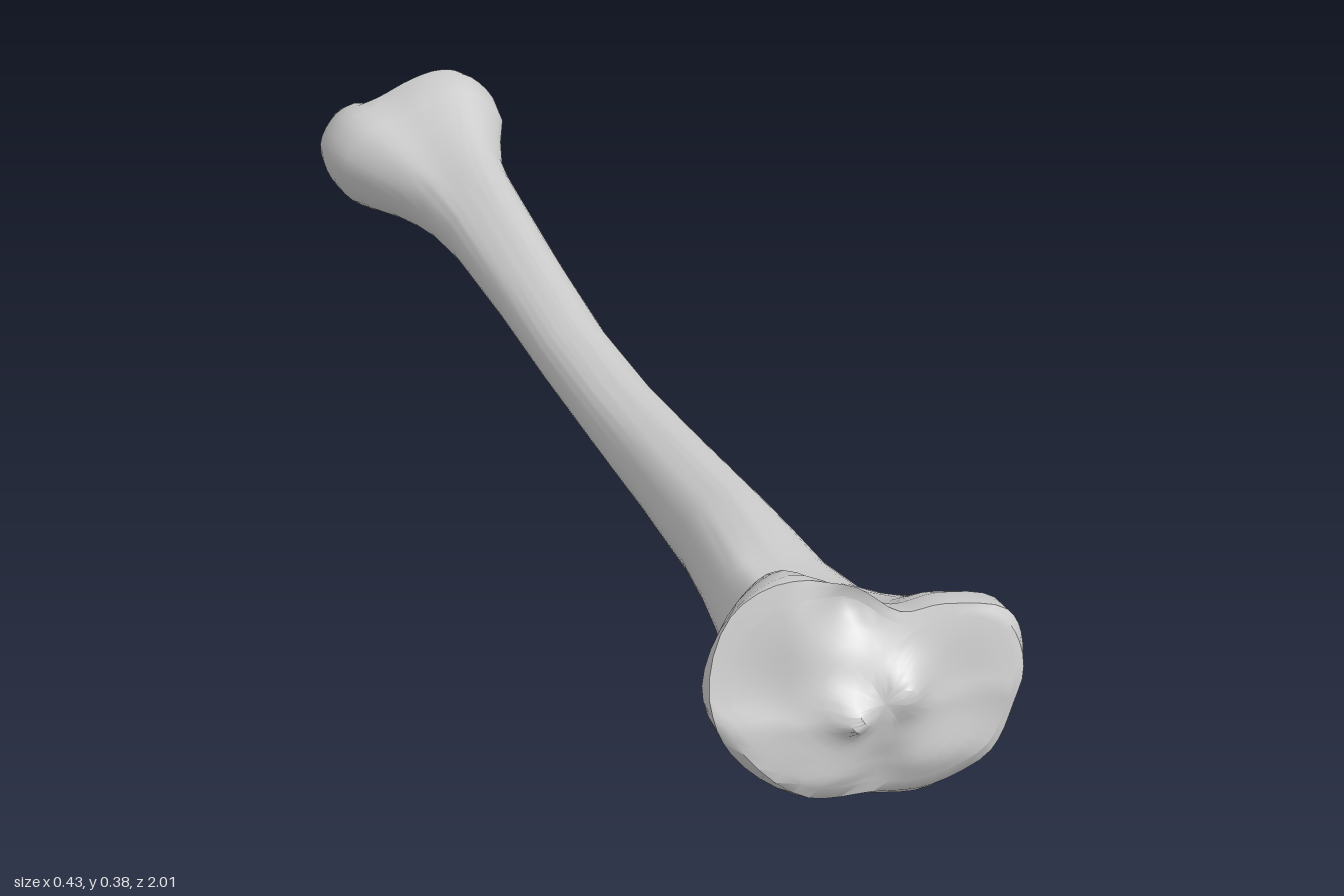
import * as THREE from 'three';
import { toCreasedNormals } from 'three/addons/utils/BufferGeometryUtils.js';

const COLS = 56;

// Outlines run counter-clockwise seen from +z, starting at the +x side.
const outlines = {
  plateau: [[.215, .24], [.19, .295], [.1, .32], [.04, .32], [-.01, .35], [-.1, .38], [-.18, .34],
    [-.217, .24], [-.19, .16], [-.1, .08], [0, .06], [.09, .05], [.17, .1], [.2, .17]],
  tuberosity: [[.17, .2], [.15, .25], [.1, .265], [.04, .25], [-.01, .27], [-.08, .34], [-.13, .31],
    [-.165, .23], [-.13, .13], [-.06, .06], [.03, 0], [.075, .005], [.13, .07], [.16, .13]],
  shaft: [[.08, .155], [.07, .19], [.045, .21], [.02, .215], [0, .21], [-.02, .2], [-.035, .18],
    [-.04, .15], [-.03, .125], [-.01, .1], [.03, .075], [.05, .07], [.065, .09], [.075, .12]],
  ankle: [[.118, .24], [.135, .3], [.09, .36], [.05, .37], [0, .36], [-.06, .335], [-.13, .31],
    [-.165, .25], [-.14, .18], [-.08, .14], [-.02, .13], [.04, .135], [.09, .15], [.13, .185]],
};

// Smooth closed outline, scaled to the unit square
function unitOutline(points) {
  const curve = new THREE.CatmullRomCurve3(points.map(([x, y]) => new THREE.Vector3(x, y, 0)), true);
  const pts = Array.from({ length: COLS }, (_, i) => curve.getPoint(i / COLS));
  const box = new THREE.Box3().setFromPoints(pts);
  const size = box.getSize(new THREE.Vector3());
  return pts.map((p) => [(p.x - box.min.x) / size.x, (p.y - box.min.y) / size.y]);
}

// z, x range, y range, outline, outline to blend towards, blend
const sections = [
  [1.0, -.19, .19, .085, .355, 'plateau', 'plateau', 0],
  [.975, -.205, .2, .065, .37, 'plateau', 'plateau', 0],
  [.94, -.217, .213, .05, .38, 'plateau', 'plateau', 0],
  [.9, -.215, .215, .037, .38, 'plateau', 'tuberosity', .25],
  [.86, -.19, .195, .02, .365, 'plateau', 'tuberosity', .65],
  [.81, -.16, .165, .002, .335, 'tuberosity', 'shaft', 0],
  [.76, -.13, .14, .003, .295, 'tuberosity', 'shaft', .3],
  [.7, -.1, .12, .009, .262, 'tuberosity', 'shaft', .55],
  [.6, -.075, .106, .018, .242, 'tuberosity', 'shaft', .8],
  [.5, -.057, .1, .027, .238, 'shaft', 'shaft', 0],
  [.4, -.046, .095, .037, .235, 'shaft', 'shaft', 0],
  [.2, -.041, .086, .055, .226, 'shaft', 'shaft', 0],
  [0, -.04, .08, .072, .217, 'shaft', 'shaft', 0],
  [-.2, -.041, .076, .09, .226, 'shaft', 'ankle', .1],
  [-.4, -.045, .079, .113, .254, 'shaft', 'ankle', .25],
  [-.6, -.054, .085, .136, .285, 'shaft', 'ankle', .5],
  [-.7, -.066, .09, .144, .296, 'shaft', 'ankle', .7],
  [-.76, -.083, .096, .147, .307, 'shaft', 'ankle', .85],
  [-.82, -.112, .112, .147, .33, 'ankle', 'ankle', 0],
  [-.87, -.148, .133, .142, .356, 'ankle', 'ankle', 0],
  [-.91, -.163, .137, .132, .373, 'ankle', 'ankle', 0],
  [-.945, -.165, .128, .134, .37, 'ankle', 'ankle', 0],
  [-.975, -.16, .115, .142, .36, 'ankle', 'ankle', 0],
  [-1.0, -.145, .112, .148, .355, 'ankle', 'ankle', 0],
];

const bump = (x, y, cx, cy, r) => Math.exp(-((x - cx) ** 2 + (y - cy) ** 2) / (r * r));

// Knee joint surface: two dished condyles, twin spines and grooves
function kneeSurface(x, y) {
  return .985 - .38 * Math.max(0, y - .2) - .3 * Math.max(0, -x - .1) - .5 * Math.max(0, .12 - y)
    - .018 * bump(x, y, -.13, .23, .07) - .018 * bump(x, y, .12, .2, .07)
    + .028 * bump(x, y, -.045, .21, .025) + .026 * bump(x, y, .03, .23, .03)
    - .03 * bump(x, y, -.02, .33, .035) - .015 * bump(x, y, 0, .12, .035);
}

// Ankle joint surface: shallow hollow with a projecting inner malleolus
function ankleSurface(x, y) {
  const inner = 1 - THREE.MathUtils.smoothstep(x, -.12, -.065);
  const tip = inner * (.06 - 4 * (y - .245) ** 2);
  return -.95 + .035 * bump(x, y, .02, .25, .075) * (1 - inner) - tip;
}

// One ring of the side wall, trimmed by the two joint surfaces
function ring([z, x0, x1, y0, y1, from, to, blend], shapes) {
  return shapes[from].map(([u, v], i) => {
    const x = x0 + (x1 - x0) * THREE.MathUtils.lerp(u, shapes[to][i][0], blend);
    const y = y0 + (y1 - y0) * THREE.MathUtils.lerp(v, shapes[to][i][1], blend);
    let zz = z;
    if (z > .8) zz = Math.min(z, kneeSurface(x, y));
    if (z < -.8) zz = Math.max(z, ankleSurface(x, y));
    return [x, y, zz];
  });
}

// Concentric rings that close an end, ordered from the rim inwards
function capRings(rim, cx, cy, surface) {
  return [1, .92, .82, .72, .62, .52, .42, .32, .22, .12, 0].map((s) => rim.map(([px, py]) => {
    const x = cx + (px - cx) * s, y = cy + (py - cy) * s;
    return [x, y, surface(x, y)];
  }));
}

function loft(rows) {
  const index = [];
  for (let i = 0; i < rows.length - 1; i++) {
    for (let j = 0; j < COLS; j++) {
      const k = (j + 1) % COLS;
      const a = i * COLS + j, b = i * COLS + k, c = a + COLS, d = b + COLS;
      index.push(a, c, b, b, c, d);
    }
  }
  const geometry = new THREE.BufferGeometry();
  geometry.setAttribute('position', new THREE.Float32BufferAttribute(rows.flat(2), 3));
  geometry.setIndex(index);
  return toCreasedNormals(geometry, .75);
}

export function createModel() {
  const material = new THREE.MeshStandardMaterial({ color: 0xcccccc });
  const shapes = {};
  for (const name in outlines) shapes[name] = unitOutline(outlines[name]);

  const wall = sections.map((s) => ring(s, shapes));
  const parts = {
    kneeJoint: capRings(wall[0], 0, .22, kneeSurface).reverse(),
    shinShaft: wall,
    ankleJoint: capRings(wall[wall.length - 1], -.01, .25, ankleSurface),
  };

  const model = new THREE.Group();
  model.name = 'shinBone';
  for (const name in parts) {
    const mesh = new THREE.Mesh(loft(parts[name]), material);
    mesh.name = name;
    model.add(mesh);
  }
  return model;
}
